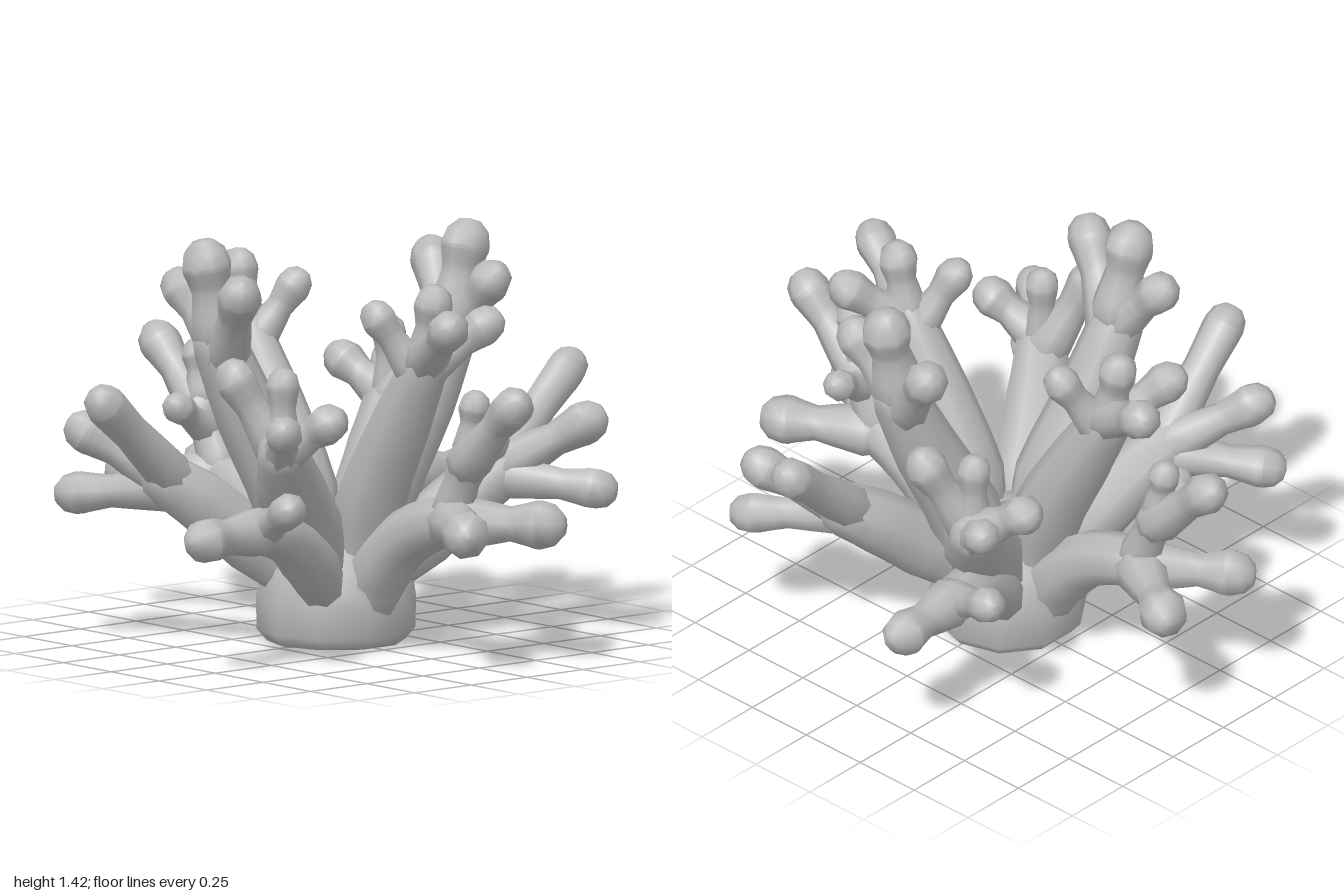
import * as THREE from 'three';

const coral = new THREE.MeshStandardMaterial({ color: 0xbababa });
coral.name = 'coral grey';
const SIDES = 8;
const CAP = [[0.55, 0.85], [0.93, 0.45], [1, 0.001]]; // rounded end: distance and width per radius

// Tapered limb lofted along a curve through [x, y, z, radius] points, rounded at both ends
function limb(name, pts) {
  const curve = new THREE.CatmullRomCurve3(pts.map(p => new THREE.Vector3(p[0], p[1], p[2])));
  const spans = pts.length - 1, steps = spans * 3;
  const rings = [];
  for (let i = 0; i <= steps; i++) {
    const t = i / steps, k = Math.min(Math.floor(t * spans), spans - 1);
    rings.push({
      c: curve.getPoint(t), d: curve.getTangent(t),
      r: THREE.MathUtils.lerp(pts[k][3], pts[k + 1][3], t * spans - k),
    });
  }
  const start = rings[0], end = rings[steps];
  const capRing = (e, along, width) =>
    ({ c: e.c.clone().addScaledVector(e.d, along * e.r), d: e.d, r: e.r * width });
  for (const [along, width] of CAP) {
    rings.unshift(capRing(start, -along, width));
    rings.push(capRing(end, along, width));
  }
  // carry one side direction along the limb so the loft does not twist
  const side = new THREE.Vector3(0.31, 0.17, 0.93), up = new THREE.Vector3();
  const pos = [], idx = [];
  rings.forEach(({ c, d, r }, i) => {
    side.addScaledVector(d, -side.dot(d)).normalize();
    up.crossVectors(d, side);
    for (let j = 0; j < SIDES; j++) {
      const a = j / SIDES * Math.PI * 2, n = (j + 1) % SIDES;
      const v = c.clone().addScaledVector(side, Math.cos(a) * r).addScaledVector(up, Math.sin(a) * r);
      pos.push(v.x, v.y, v.z);
      if (i) {
        const p = (i - 1) * SIDES, q = i * SIDES;
        idx.push(p + j, p + n, q + n, p + j, q + n, q + j);
      }
    }
  });
  const g = new THREE.BufferGeometry();
  g.setAttribute('position', new THREE.Float32BufferAttribute(pos, 3));
  g.setIndex(idx);
  g.computeVertexNormals();
  const mesh = new THREE.Mesh(g, coral);
  mesh.name = name;
  return mesh;
}

// Twig flaring at the fork, narrowing to a neck, then swelling to a bulbous tip
function twig(from, tip, r = 0.075, neck = 0.78) {
  const at = (t, w) => [0, 1, 2].map(i => from[i] + (tip[i] - from[i]) * t).concat(w);
  return limb('twig', [at(0, r * 1.12), at(0.6, r * neck), at(0.92, r), at(1, r)]);
}

function branch(name, stem, twigs) {
  const g = new THREE.Group();
  g.name = name;
  g.add(limb('stem', stem), ...twigs.map(t => twig(...t)));
  return g;
}

function halfColony() {
  const g = new THREE.Group();
  g.name = 'halfColony';

  // tall branch leaning to the front
  g.add(branch('tallFrontBranch',
    [[0, 0.27, 0.13, 0.1], [-0.03, 0.5, 0.18, 0.13], [-0.08, 0.8, 0.32, 0.115], [-0.11, 1.05, 0.425, 0.095]],
    [[[-0.11, 1.1, 0.43], [-0.12, 1.335, 0.475], 0.086],
      [[-0.12, 1.05, 0.42], [-0.28, 1.23, 0.45], 0.072],
      [[-0.08, 1.02, 0.42], [0.11, 1.255, 0.52], 0.075]]));

  // tall branch leaning to the side
  g.add(branch('tallSideBranch',
    [[0.13, 0.27, 0, 0.09], [0.18, 0.5, 0, 0.125], [0.33, 0.78, 0, 0.11], [0.47, 1.02, 0, 0.085]],
    [[[0.47, 1.03, 0], [0.51, 1.225, 0], 0.067],
      [[0.48, 1.03, 0.01], [0.71, 1.17, 0.1], 0.07],
      [[0.43, 0.99, 0.02], [0.36, 1.17, 0.12], 0.062],
      [[0.47, 1.01, -0.02], [0.59, 1.145, -0.16], 0.07]]));

  // low branch spreading to the side
  g.add(branch('lowSideBranch',
    [[0.18, 0.17, 0, 0.095], [0.24, 0.28, 0, 0.11], [0.38, 0.41, 0, 0.1], [0.56, 0.485, 0, 0.088], [0.66, 0.5, 0, 0.07]],
    [[[0.64, 0.49, 0.02], [0.88, 0.495, 0.17], 0.083, 0.72],
      [[0.64, 0.49, -0.02], [0.88, 0.495, -0.17], 0.083, 0.72],
      [[0.61, 0.53, 0], [0.69, 0.71, 0], 0.066, 0.95],
      [[0.7, 0.71, 0], [0.925, 0.92, 0], 0.072],
      [[0.7, 0.76, 0], [0.725, 0.9, 0], 0.055],
      [[0.66, 0.65, -0.01], [0.625, 0.745, -0.17], 0.055]]));

  // middle branch on the front left quarter
  g.add(branch('leftQuarterBranch',
    [[0.08, 0.26, 0.13, 0.09], [0.13, 0.43, 0.24, 0.125], [0.23, 0.6, 0.4, 0.12], [0.33, 0.74, 0.52, 0.09]],
    [[[0.35, 0.76, 0.51], [0.5, 0.86, 0.46], 0.07],
      [[0.28, 0.75, 0.5], [0.19, 0.99, 0.61], 0.072],
      [[0.31, 0.76, 0.5], [0.31, 0.975, 0.5], 0.058],
      [[0.34, 0.74, 0.53], [0.47, 0.84, 0.63], 0.064]]));

  // low branch on the front left quarter
  g.add(branch('lowQuarterBranch',
    [[0.12, 0.21, 0.16, 0.08], [0.18, 0.32, 0.27, 0.1], [0.25, 0.445, 0.45, 0.09], [0.29, 0.48, 0.62, 0.075]],
    [[[0.29, 0.478, 0.6], [0.305, 0.475, 0.835], 0.078],
      [[0.28, 0.475, 0.57], [0.5, 0.58, 0.635], 0.063]]));

  // middle branch on the front right quarter
  g.add(branch('rightQuarterBranch',
    [[-0.09, 0.25, 0.15, 0.09], [-0.15, 0.36, 0.26, 0.115], [-0.21, 0.5, 0.42, 0.11], [-0.26, 0.58, 0.53, 0.095]],
    [[[-0.24, 0.6, 0.53], [-0.21, 0.88, 0.85], 0.071, 0.9],
      [[-0.28, 0.59, 0.53], [-0.475, 0.74, 0.71], 0.074],
      [[-0.28, 0.55, 0.52], [-0.54, 0.52, 0.7], 0.072]]));
  return g;
}

export function createModel() {
  const model = new THREE.Group();
  model.name = 'branchingCoral';

  // hollow rounded foot
  const profile = [[0.045, 0.45], [0.05, 0.3], [0.11, 0.12], [0.155, 0.03], [0.19, 0.005], [0.235, 0.01],
    [0.27, 0.05], [0.272, 0.16], [0.255, 0.26], [0.19, 0.36], [0.12, 0.44], [0.045, 0.45]];
  const foot = new THREE.Mesh(
    new THREE.LatheGeometry(profile.map(p => new THREE.Vector2(...p)), 10), coral);
  foot.name = 'foot';
  model.add(foot);

  // the colony repeats after half a turn
  for (const turn of [0, Math.PI]) {
    const half = halfColony();
    half.rotation.y = turn;
    model.add(half);
  }
  return model;
}
